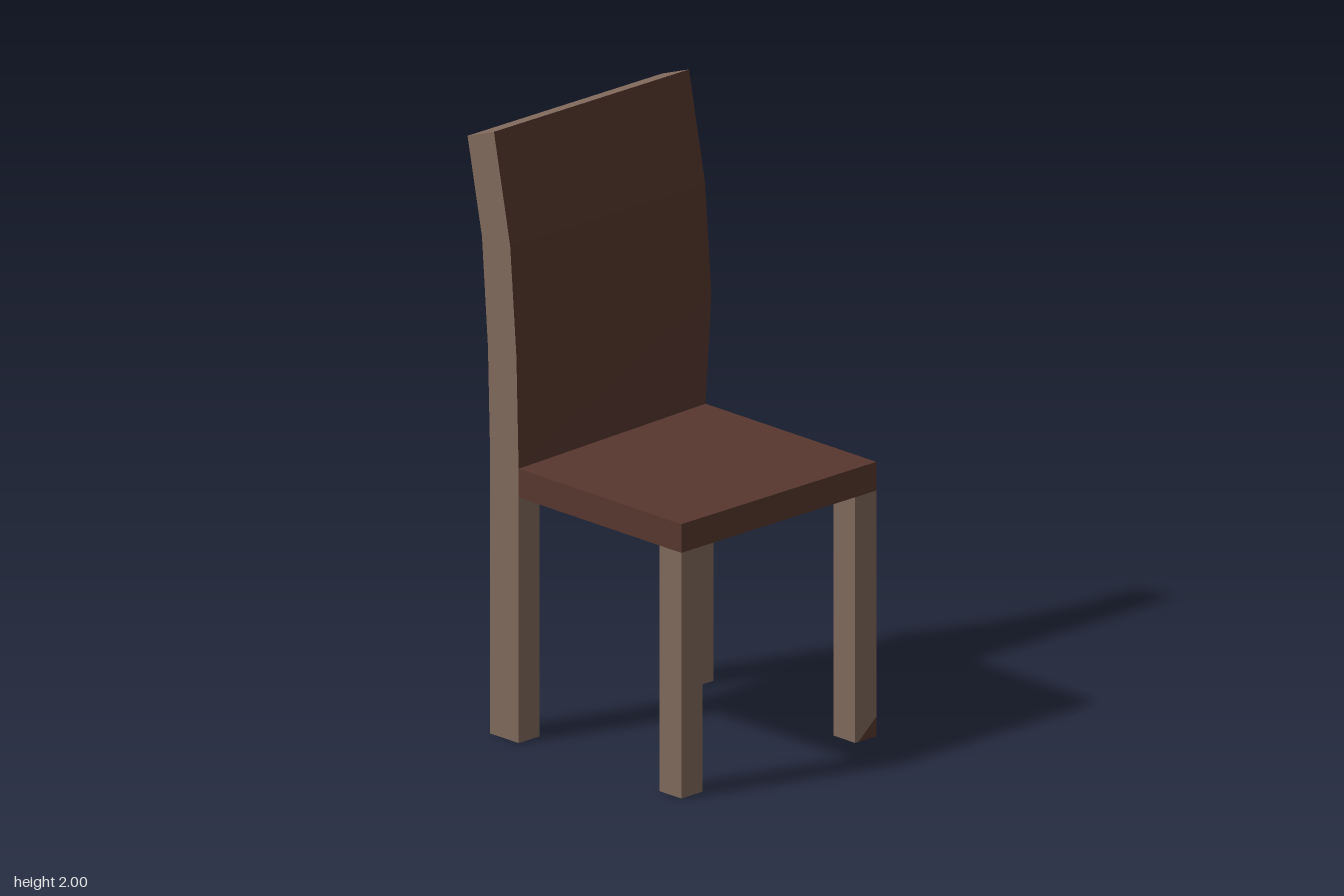
import * as THREE from 'three';

const wood = new THREE.MeshStandardMaterial({ color: 0x816a5c });
wood.name = 'light wood';
const panel = new THREE.MeshStandardMaterial({ color: 0x57372e });
panel.name = 'dark red brown';

const HALF = 0.425;   // half width of the chair
const SEAT_Y = 0.815; // underside of the seat
const SEAT_TOP = 0.91;

// Side profile of the backrest: back edge [x, y], front edge [x, y],
// and how far the -z side is pushed backwards on that row
const rows = [
  { back: [-0.38, SEAT_Y], front: [-0.252, SEAT_Y], skew: 0 },
  { back: [-0.38, SEAT_TOP], front: [-0.252, SEAT_TOP], skew: 0.036 },
  { back: [-0.39, 1.28], front: [-0.262, 1.28], skew: 0 },
  { back: [-0.417, 1.64], front: [-0.29, 1.64], skew: 0 },
  { back: [-0.482, 1.957], front: [-0.363, 2.0], skew: 0 },
];

// Flat-shaded geometry from counter-clockwise quads
function fromQuads(quads) {
  const pos = [];
  for (const [a, b, c, d] of quads) pos.push(...a, ...b, ...c, ...a, ...c, ...d);
  const g = new THREE.BufferGeometry();
  g.setAttribute('position', new THREE.Float32BufferAttribute(pos, 3));
  g.computeVertexNormals();
  return g;
}

function add(group, name, geometry, material) {
  const mesh = new THREE.Mesh(geometry, material);
  mesh.name = name;
  group.add(mesh);
  return mesh;
}

function createBackrest() {
  const group = new THREE.Group();
  group.name = 'backrest';
  const point = (r, edge, side) =>
    [r[edge][0] - (side < 0 ? r.skew : 0), r[edge][1], side * HALF];
  const frame = [], face = [];
  for (let i = 0; i < rows.length - 1; i++) {
    const lo = rows[i], hi = rows[i + 1];
    const [bl, br, fl, fr] = [['back', 1], ['back', -1], ['front', 1], ['front', -1]]
      .map(([e, s]) => [point(lo, e, s), point(hi, e, s)]);
    face.push([fl[0], fr[0], fr[1], fl[1]]);
    frame.push([br[0], bl[0], bl[1], br[1]]); // rear
    frame.push([bl[0], fl[0], fl[1], bl[1]]); // +z side
    frame.push([fr[0], br[0], br[1], fr[1]]); // -z side
  }
  // Top and bottom caps
  const t = rows[rows.length - 1], b = rows[0];
  frame.push([point(t, 'back', 1), point(t, 'front', 1), point(t, 'front', -1), point(t, 'back', -1)]);
  frame.push([point(b, 'back', -1), point(b, 'front', -1), point(b, 'front', 1), point(b, 'back', 1)]);
  add(group, 'backrestFrame', fromQuads(frame), wood);
  add(group, 'backrestPanel', fromQuads(face), panel);
  return group;
}

function createSeat() {
  const x0 = -0.252, x1 = 0.48;
  const g = new THREE.BoxGeometry(x1 - x0, SEAT_TOP - SEAT_Y, HALF * 2);
  g.translate((x0 + x1) / 2, (SEAT_TOP + SEAT_Y) / 2, 0);
  // Rear top corner follows the skewed backrest
  const p = g.attributes.position;
  for (let i = 0; i < p.count; i++) {
    if (p.getX(i) < 0 && p.getY(i) > 0.86 && p.getZ(i) < 0) p.setX(i, x0 - rows[1].skew);
  }
  const mesh = new THREE.Mesh(g, [panel, panel, panel, wood, panel, panel]);
  mesh.name = 'seat';
  return mesh;
}

export function createModel() {
  const chair = new THREE.Group();
  chair.name = 'chair';
  chair.add(createSeat(), createBackrest());

  // Legs; those on the +z side have dark soles
  const depth = 0.092;
  for (const [name, xa, xb] of [['frontLeg', 0.382, 0.48], ['backLeg', -0.38, -0.252]]) {
    for (const side of [1, -1]) {
      const g = new THREE.BoxGeometry(xb - xa, SEAT_Y, depth);
      const sole = side > 0 ? panel : wood;
      const leg = add(chair, name + (side > 0 ? 'A' : 'B'), g, [wood, wood, wood, sole, wood, wood]);
      leg.position.set((xa + xb) / 2, SEAT_Y / 2, side * (HALF - depth / 2));
    }
  }

  // Small dark corner at the foot of one front leg
  const corner = new THREE.BufferGeometry();
  corner.setAttribute('position', new THREE.Float32BufferAttribute(
    [0.481, 0, -0.345, 0.481, 0, -HALF, 0.481, 0.065, -HALF], 3));
  corner.computeVertexNormals();
  add(chair, 'footCorner', corner, panel);
  return chair;
}
